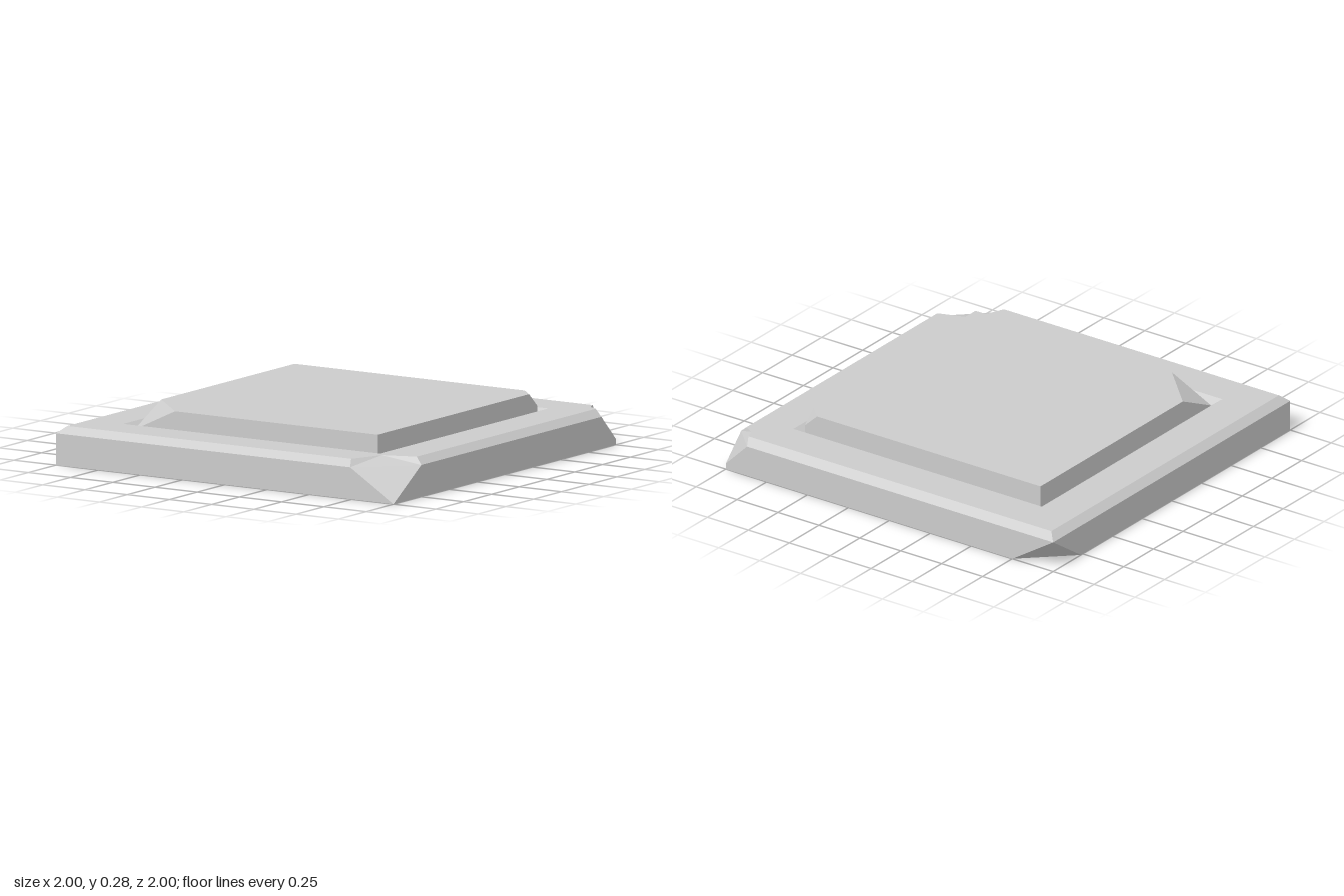
import * as THREE from 'three';
import { ConvexGeometry } from 'three/addons/geometries/ConvexGeometry.js';

const TOP = 0.195, MID = 0.16, GROOVE = 0.165;

// Flat-faced solid from named corners; every face is a fan, turned away from the centre.
function facetedSolid(corners, faces, centre) {
  const positions = [];
  for (const face of faces) {
    const pts = face.split(' ').map((name) => new THREE.Vector3(...corners[name]));
    for (let i = 1; i < pts.length - 1; i++) {
      const tri = new THREE.Triangle(pts[0], pts[i], pts[i + 1]);
      const normal = tri.getNormal(new THREE.Vector3());
      const outward = tri.getMidpoint(new THREE.Vector3()).sub(centre);
      const order = normal.dot(outward) > 0 ? [tri.a, tri.b, tri.c] : [tri.a, tri.c, tri.b];
      order.forEach((p) => positions.push(p.x, p.y, p.z));
    }
  }
  const geometry = new THREE.BufferGeometry();
  geometry.setAttribute('position', new THREE.Float32BufferAttribute(positions, 3));
  geometry.computeVertexNormals();
  return geometry;
}

export function createModel() {
  const group = new THREE.Group();
  const stone = new THREE.MeshStandardMaterial({ color: 0xcccccc });
  const add = (name, geometry, material = stone) => {
    const mesh = new THREE.Mesh(geometry, material);
    mesh.name = name;
    group.add(mesh);
    return mesh;
  };

  // Base corners: one whole, two chipped from above, one undercut
  const corners = {
    // front, -x: whole
    l0: [-1, 0, 1], l1: [-1, MID, 1], l2: [-0.96, TOP, 0.96],
    // front, +x: large chip down to the ground
    r0: [1, 0, 1], ra: [0.74, MID, 1], rb: [0.72, TOP, 0.96],
    rc: [0.79, TOP, 0.79], rd: [0.96, TOP, 0.73], re: [1, MID, 0.75],
    // back, +x: small chip
    s0: [1, 0, -1], sk: [1, 0.03, -1], sa: [1, MID, -0.87], sb: [0.96, TOP, -0.88],
    sc: [0.91, TOP, -0.91], sd: [0.89, TOP, -0.96], se: [0.87, MID, -1],
    // back, -x: undercut
    ua: [-1, 0, -0.765], ub: [-0.75, 0, -1], u1: [-1, MID, -1], u2: [-0.96, TOP, -0.96],
  };
  const faces = [
    'l0 r0 ra l1', 'l1 ra rb l2',                      // front wall and bevel
    're r0 s0 sk sa', 're sa sb rd',                   // +x wall and bevel
    'se sk s0 ub u1', 'se u1 u2 sd',                   // back wall and bevel
    'u1 ua l0 l1', 'u1 l1 l2 u2',                      // -x wall and bevel
    'r0 ra re', 'ra rb rc', 'ra rc re', 'rc rd re',    // large chip
    'sk sa se', 'sa sb sc', 'sa sc se', 'sc sd se',    // small chip
    'u1 ua ub',                                        // undercut
    'l0 r0 s0 ub ua',                                  // underside
  ];
  add('base', facetedSolid(corners, faces, new THREE.Vector3(0, 0.08, 0)));

  // Top of the base, open in the middle
  const rim = 'l2 rb rc rd sb sc sd u2'.split(' ')
    .map((n) => new THREE.Vector2(corners[n][0], -corners[n][2]));
  const top = new THREE.Shape(rim);
  top.holes.push(new THREE.Path(
    [[-1, -1], [-1, 1], [1, 1], [1, -1]].map(([x, y]) => new THREE.Vector2(x * 0.76, y * 0.76))));
  add('baseTop', new THREE.ShapeGeometry(top).rotateX(-Math.PI / 2)).position.y = TOP;

  // Sloping groove around the raised slab
  const depth = TOP - GROOVE;
  const groove = new THREE.CylinderGeometry(0.76 * Math.SQRT2, 0.72 * Math.SQRT2, depth, 4, 1, true)
    .rotateY(Math.PI / 4).toNonIndexed();
  groove.computeVertexNormals();
  add('groove', groove, new THREE.MeshStandardMaterial({ color: 0xcccccc, side: THREE.DoubleSide }))
    .position.y = TOP - depth / 2;

  // Raised slab with two chipped corners
  const h = 0.72, y = 0.28;
  const slab = [
    [-h, GROOVE, -h], [h, GROOVE, -h], [h, GROOVE, h], [-h, GROOVE, h],
    [-h, y, -h], [h, y, h],
    [-h, y, 0.48], [-0.48, y, h],                    // large chip
    [h, y, -0.645], [0.645, y, -h], [h, 0.21, -h],   // small chip
  ].map((p) => new THREE.Vector3(...p));
  add('raisedSlab', new ConvexGeometry(slab));

  return group;
}
